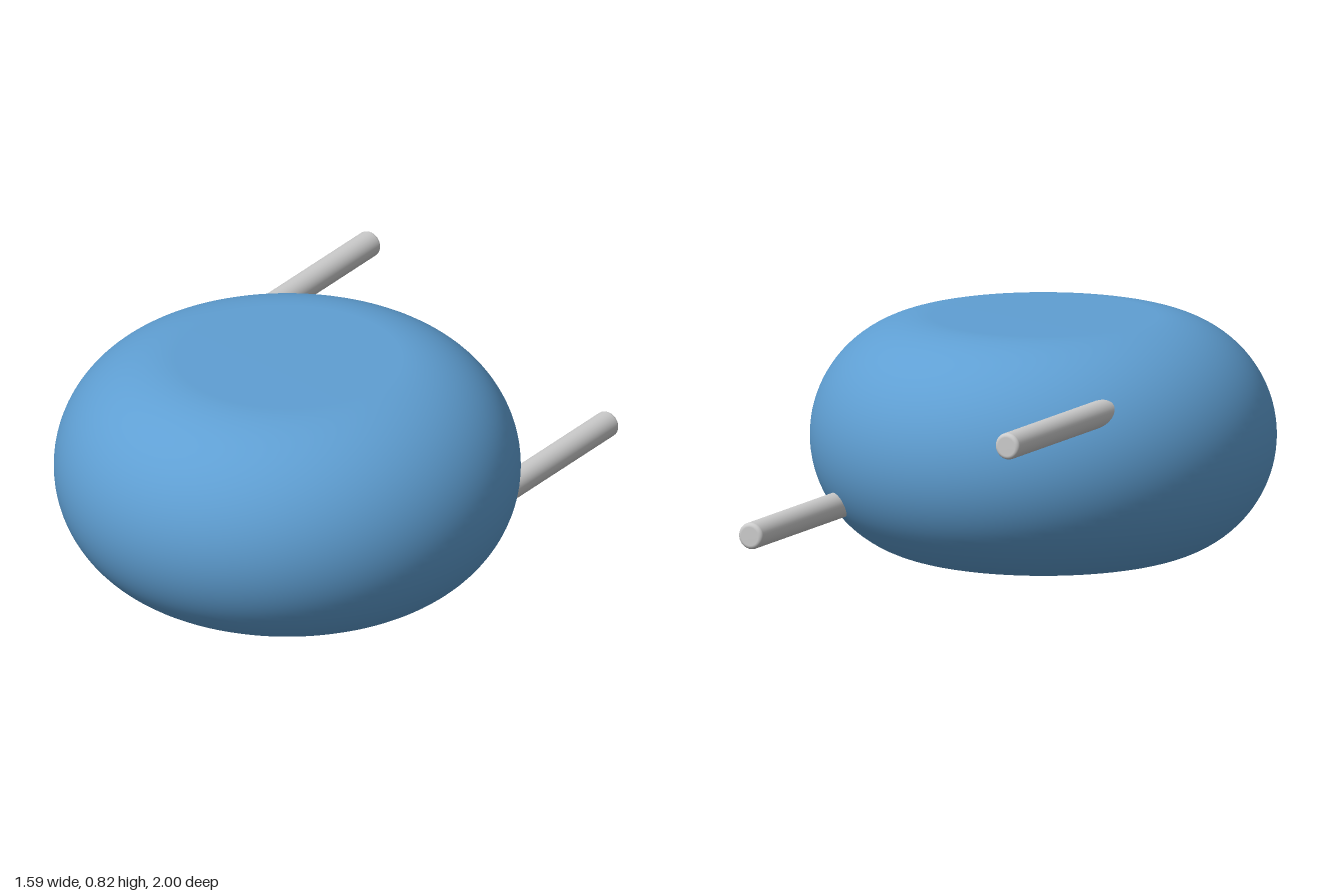
import * as THREE from 'three';

const BODY = { flat: 0.385, round: 0.411, z: 0.204 };
const ROD = { radius: 0.046, fillet: 0.014, x: 0.495, inner: -0.2, outer: -1 };

// Quarter or half circle of profile points
function arc(cx, cy, r, from, to, steps) {
  return Array.from({ length: steps + 1 }, (_, i) => {
    const a = from + (to - from) * i / steps;
    return new THREE.Vector2(cx + r * Math.cos(a), cy + r * Math.sin(a));
  });
}

export function createModel() {
  const model = new THREE.Group();
  const blue = new THREE.MeshStandardMaterial({ color: 0x5f9fd3 });
  const grey = new THREE.MeshStandardMaterial({ color: 0xcccccc });

  // Round body with a fully rounded rim and flat top and bottom
  const { flat, round } = BODY;
  const bodyProfile = [
    new THREE.Vector2(0, 0),
    ...arc(flat, round, round, -Math.PI / 2, Math.PI / 2, 48),
    new THREE.Vector2(0, 2 * round),
  ];
  const body = new THREE.Mesh(new THREE.LatheGeometry(bodyProfile, 128), blue);
  body.name = 'body';
  body.position.z = BODY.z;
  model.add(body);

  // Rods run straight back, with softened rear ends
  const { radius, fillet } = ROD;
  const length = ROD.inner - ROD.outer;
  const rodProfile = [
    new THREE.Vector2(0, 0),
    new THREE.Vector2(radius, 0),
    new THREE.Vector2(radius, 0.01),
    ...arc(radius - fillet, length - fillet, fillet, 0, Math.PI / 2, 8),
    new THREE.Vector2(0, length),
  ];
  const rodGeometry = new THREE.LatheGeometry(rodProfile, 40).rotateX(-Math.PI / 2);
  for (const [name, x, y] of [['lowerLeftRod', ROD.x, 0.215], ['upperRightRod', -ROD.x, 0.615]]) {
    const rod = new THREE.Mesh(rodGeometry, grey);
    rod.name = name;
    rod.position.set(x, y, ROD.inner);
    model.add(rod);
  }
  return model;
}
